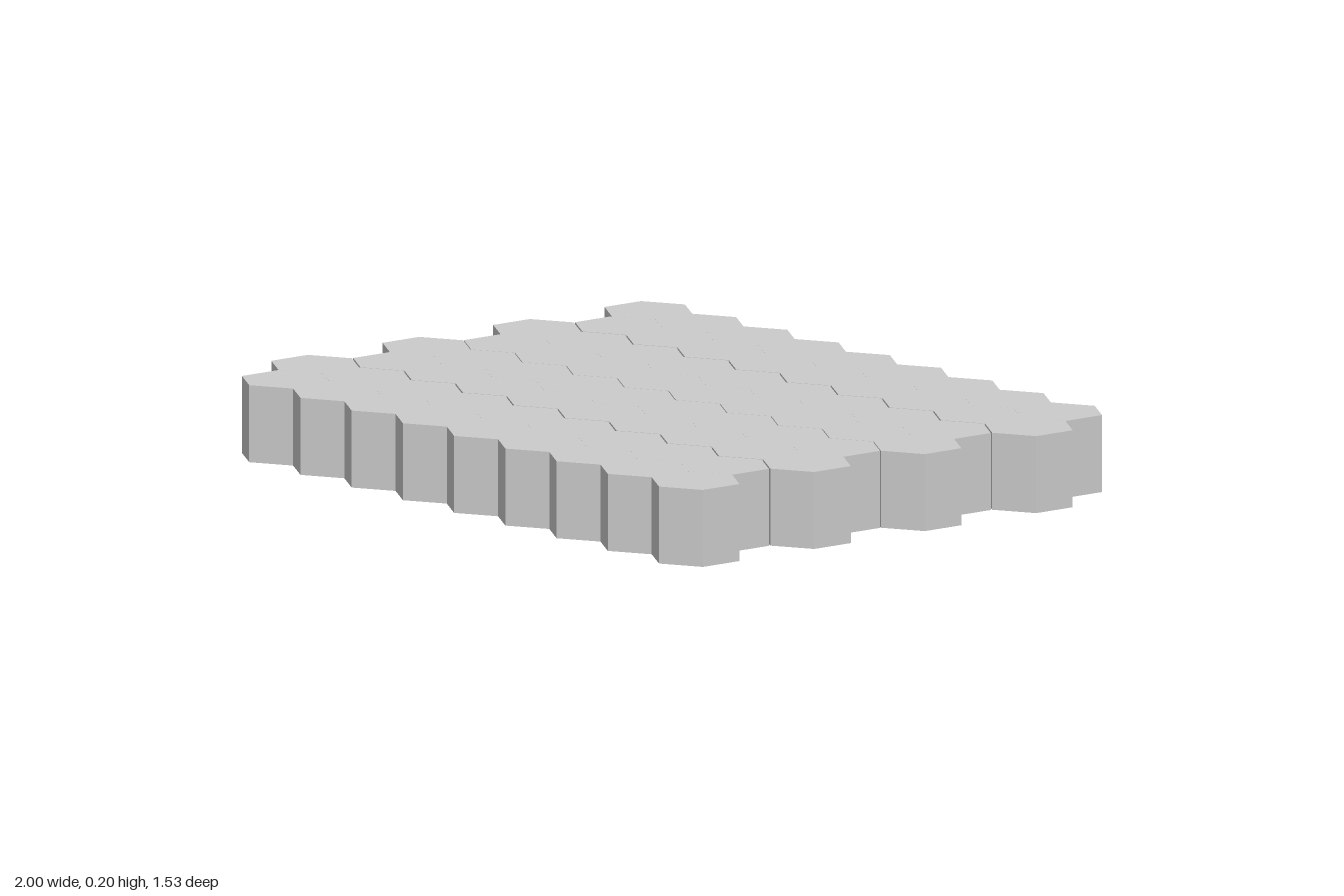
import * as THREE from 'three';

export function createModel() {
  const group = new THREE.Group();
  group.name = 'hexTileFloor';

  const columns = 9;
  const pitch = 2 / (columns + 0.5); // flat-to-flat width of one tile
  const radius = pitch / Math.sqrt(3);
  const height = 0.203;

  // One six-sided prism shared by all tiles, points towards +z and -z
  const tile = new THREE.CylinderGeometry(radius, radius, height, 6);
  const material = new THREE.MeshStandardMaterial({ color: 0xcccccc, flatShading: true });

  // Row centres, with thin seams between pairs of rows
  const half = [0.0925, 0.275, 0.462, 0.6445];
  const rows = [...half.map((z) => -z).reverse(), ...half];

  rows.forEach((z, r) => {
    const row = new THREE.Group();
    row.name = `tileRow${r + 1}`;
    // Every second row is shifted by half a tile
    const start = -1 + pitch / 2 + (r % 2) * pitch / 2;
    for (let c = 0; c < columns; c++) {
      const mesh = new THREE.Mesh(tile, material);
      mesh.name = `hexTile${c + 1}`;
      mesh.position.set(start + c * pitch, height / 2, z);
      row.add(mesh);
    }
    group.add(row);
  });

  return group;
}
